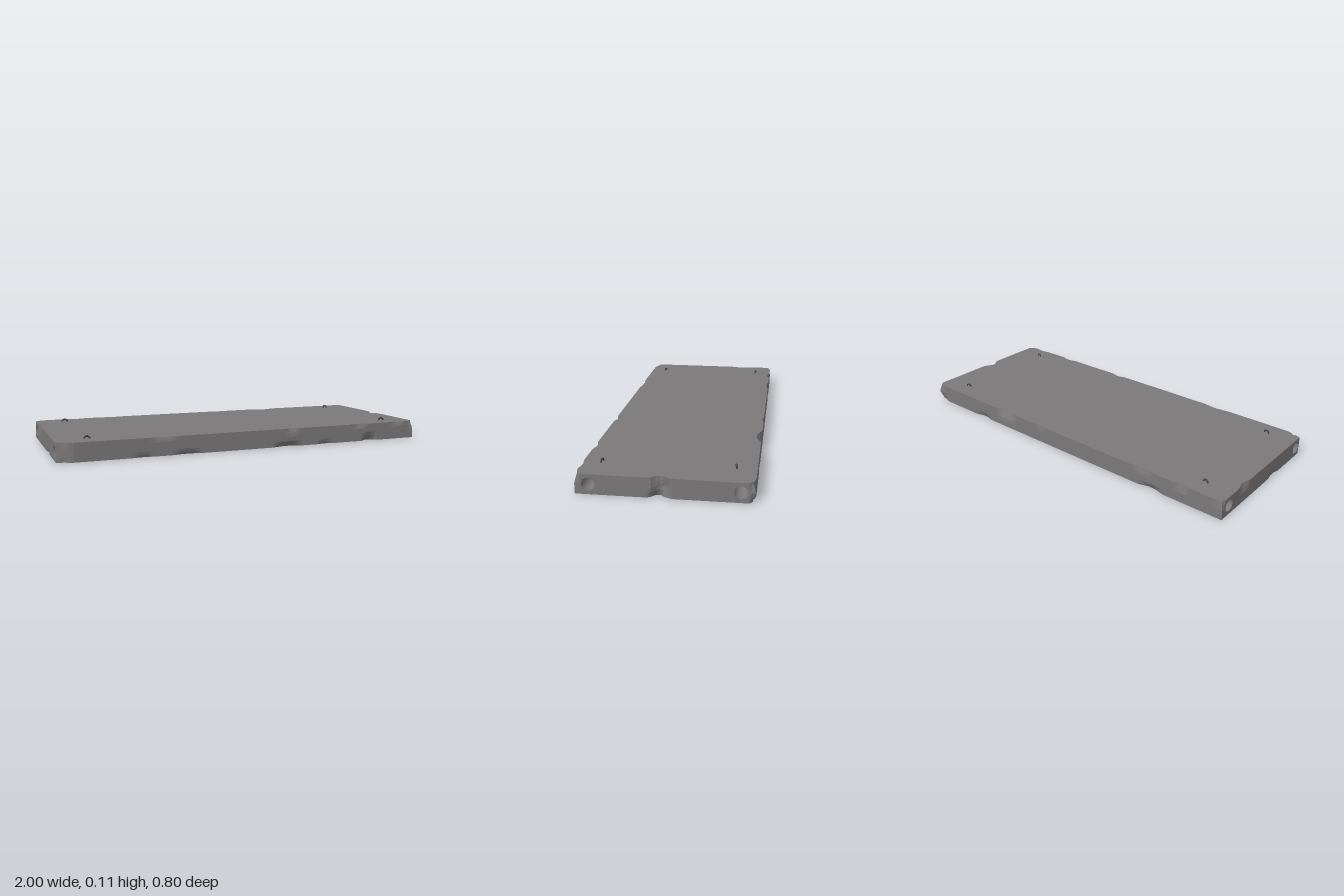
import * as THREE from 'three';

const H = 0.095, HX = 1, HZ = 0.4, BORE_Z = 0.339, BORE_Y = 0.048, BORE_R = 0.031;
const PANEL = [0.304, 0.375];          // |z| range of the flat end panel round each bore
const LEVELS = [0, 0.012, 0.028, 0.05, 0.07, 0.085, H];

// Broken edges: plan position, reach along the edge, depth, height centre, height reach
const CHIPS = [
  // front face
  [-0.58, 0.4, 0.05, 0.008, 0, 0.02], [-0.35, 0.4, 0.08, 0.012, 0, 0.02],
  [0.21, 0.4, 0.09, 0.02, 0, 0.03], [0.43, 0.4, 0.05, 0.01, 0, 0.02],
  [0.71, 0.4, 0.05, 0.025, 0, 0.04], [-0.48, 0.4, 0.08, 0.008, H, 0.02],
  [0.23, 0.4, 0.04, 0.012, H, 0.03], [0.65, 0.4, 0.05, 0.01, H, 0.025],
  [0.89, 0.4, 0.05, 0.008, H, 0.02],
  // back face
  [-0.78, -0.4, 0.05, 0.014, H, 0.04], [-0.55, -0.4, 0.08, 0.009, H, 0.03],
  [0.41, -0.4, 0.09, 0.024, H, 0.05], [0.14, -0.4, 0.04, 0.007, H, 0.03],
  [-0.6, -0.4, 0.07, 0.015, 0, 0.03], [0.6, -0.4, 0.06, 0.012, 0, 0.03],
  // right end
  [1, 0.01, 0.045, 0.028, 0.05, 0.12], [1, 0.035, 0.035, 0.025, 0, 0.035],
  [1, 0.03, 0.035, 0.014, H, 0.04],
  // left end
  [-1, -0.2, 0.05, 0.014, H, 0.04], [-1, 0.1, 0.05, 0.008, 0, 0.03],
  // corners
  [-1, 0.4, 0.075, 0.024, 0.05, 0.25], [-1, 0.4, 0.06, 0.012, H, 0.05],
  [-1, 0.4, 0.06, 0.01, 0, 0.04], [1, 0.4, 0.05, 0.012, H, 0.04],
  [1, -0.4, 0.07, 0.02, 0, 0.04], [1, -0.4, 0.05, 0.012, H, 0.04],
  [-1, -0.4, 0.05, 0.01, H, 0.04],
];

const inPanel = (z) => Math.abs(z) > PANEL[0] - 0.001 && Math.abs(z) < PANEL[1] + 0.001;

function inset(x, z, y) {
  if (Math.abs(x) === HX && inPanel(z)) return 0;
  let d = 0;
  for (const [cx, cz, r, depth, cy, ry] of CHIPS) {
    const along = Math.max(0, 1 - Math.hypot(x - cx, z - cz) / r);
    const high = Math.max(0, 1 - Math.abs(y - cy) / ry);
    d += depth * Math.min(1, along * 1.4) * high;
  }
  return d;
}

// Plan outline, running front, right end, back, left end
function outline() {
  const pts = [];
  const zs = [HZ, 0.388, PANEL[1]];
  for (let i = 0; i <= 32; i++) zs.push(PANEL[0] * (1 - i / 16));
  zs.push(-PANEL[1], -0.388);
  for (const s of [1, -1]) {
    for (let i = 0; i < 100; i++) pts.push([s * (-HX + i * 0.02), s * HZ]);
    for (const z of zs) pts.push([s * HX, s * z]);
  }
  return pts;
}

// Slab skin: chipped walls plus top and bottom faces
function slabGeometry() {
  const plan = outline(), n = plan.length, pos = [], index = [];
  for (const y of LEVELS) {
    for (const [x, z] of plan) {
      const d = inset(x, z, y);
      pos.push(Math.abs(x) === HX ? x - Math.sign(x) * d : x, y,
        Math.abs(z) === HZ ? z - Math.sign(z) * d : z);
    }
  }
  for (let i = 0; i < n; i++) {
    const j = (i + 1) % n, [xa, za] = plan[i], [xb, zb] = plan[j];
    if (xa === xb && Math.abs(xa) === HX && inPanel(za) && inPanel(zb) && za * zb > 0) continue;
    for (let k = 0; k < LEVELS.length - 1; k++) {
      const a = k * n + i, b = k * n + j;
      index.push(a, b, b + n, a, b + n, a + n);
    }
  }
  for (const k of [0, LEVELS.length - 1]) {
    const loop = plan.map((_, i) =>
      new THREE.Vector2(pos[(k * n + i) * 3], -pos[(k * n + i) * 3 + 2]));
    for (const [a, b, c] of THREE.ShapeUtils.triangulateShape(loop, [])) {
      if (k) index.push(k * n + a, k * n + b, k * n + c);
      else index.push(a, c, b);
    }
  }
  const g = new THREE.BufferGeometry();
  g.setAttribute('position', new THREE.Float32BufferAttribute(pos, 3));
  g.setIndex(index);
  const flat = g.toNonIndexed();
  flat.computeVertexNormals();
  return flat;
}

export function createModel() {
  const model = new THREE.Group();
  const concrete = new THREE.MeshStandardMaterial({ color: 0x7b7879, side: THREE.DoubleSide });
  concrete.name = 'concrete grey';
  const steel = new THREE.MeshStandardMaterial({ color: 0x444142 });
  steel.name = 'dark steel';
  const add = (name, geometry, material, parent = model) => {
    const mesh = new THREE.Mesh(geometry, material);
    mesh.name = name;
    parent.add(mesh);
    return mesh;
  };

  add('slab', slabGeometry(), concrete);

  // Bores through the whole length, with a flat panel at each end
  for (const s of [1, -1]) {
    const bore = new THREE.CylinderGeometry(BORE_R, BORE_R, 2 * HX, 24, 1, true);
    bore.rotateZ(Math.PI / 2);
    add('bore', bore, concrete).position.set(0, BORE_Y, s * BORE_Z);
    for (const e of [1, -1]) {
      const panel = new THREE.Shape();
      const [a, b] = PANEL.map((z) => -e * s * z);
      panel.moveTo(a, 0).lineTo(b, 0).lineTo(b, H).lineTo(a, H).closePath();
      const hole = new THREE.Path();
      hole.absarc(-e * s * BORE_Z, BORE_Y, BORE_R, 0, Math.PI * 2, true);
      panel.holes.push(hole);
      const mesh = add('endPanel', new THREE.ShapeGeometry(panel, 12), concrete);
      mesh.rotation.y = e * Math.PI / 2;
      mesh.position.x = e * HX;
    }
  }

  // Row of thin crack wedges on the right end: z start, length, y, height
  for (const [z, len, y, h] of [[0.285, 0.045, 0.051, 0.004], [0.205, 0.03, 0.053, 0.003],
    [0.13, 0.025, 0.056, 0.005], [-0.06, 0.04, 0.048, -0.014], [-0.104, 0.055, 0.048, -0.01],
    [-0.17, 0.055, 0.048, -0.008], [-0.24, 0.05, 0.048, -0.005]]) {
    const wedge = new THREE.Shape();
    wedge.moveTo(-z, y).lineTo(-z + len, y + Math.max(h, 0)).lineTo(-z, y + h).closePath();
    const mesh = add('crackWedge', new THREE.ShapeGeometry(wedge), concrete);
    mesh.rotation.y = Math.PI / 2;
    mesh.position.x = HX + 0.0008;
  }

  // Lifting loops near the corners
  for (const [x, z, turn] of [[-0.85, -0.305, -0.2], [0.835, -0.305, 0.2],
    [-0.84, 0.312, -0.25], [0.845, 0.312, -0.2]]) {
    const loop = add('liftingLoop',
      new THREE.TorusGeometry(0.013, 0.0042, 8, 14, Math.PI), steel);
    loop.position.set(x, H + 0.001, z);
    loop.rotation.y = turn;
  }
  return model;
}
